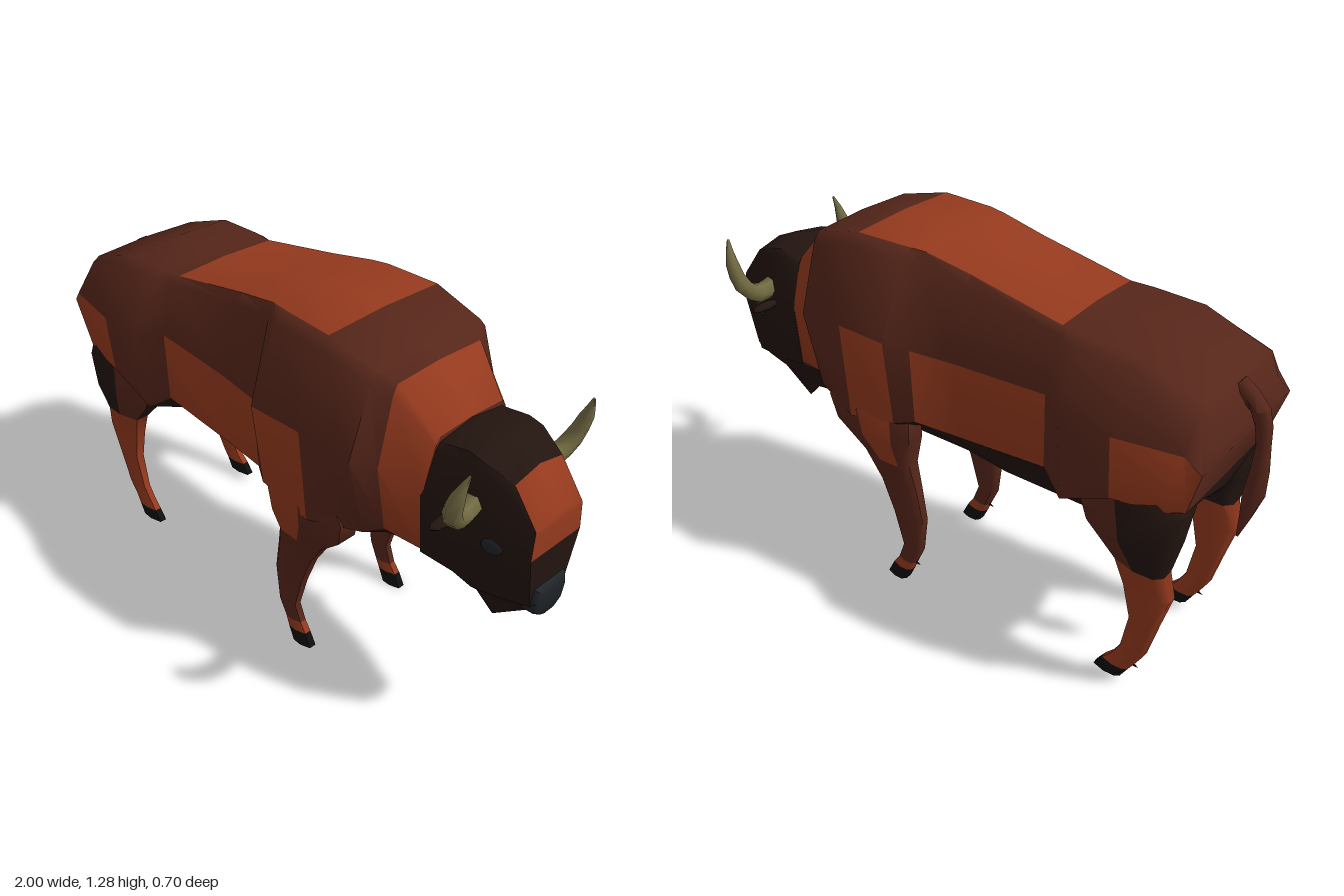
import * as THREE from 'three';
import { toCreasedNormals } from 'three/addons/utils/BufferGeometryUtils.js';

const COLORS = { coat: 0x56261a, rust: 0x963a1e, dark: 0x231510, black: 0x100e0d, horn: 0x726a42, grey: 0x202428 };
const mats = {};
for (const k in COLORS) mats[k] = new THREE.MeshStandardMaterial({ color: COLORS[k] });

// Skin equal-length closed rings, close both ends, colour each face by rule
function loft(name, rings, colorOf, crease = 0.9) {
  const n = rings[0].length, last = rings.length - 1, P = rings.flat(), bins = {};
  let volume = 0;
  const tri = (col, a, b, c) => {
    if (a === b || b === c || a === c) return;
    (bins[col] ??= []).push([a, b, c]);
    volume += P[a].dot(P[b].clone().cross(P[c]));
  };
  const quad = (col, a, b, c, d) => { tri(col, a, b, c); tri(col, a, c, d); };
  for (let i = 0; i < last; i++) for (let j = 0; j < n; j++) {
    const k = (j + 1) % n;
    quad(colorOf(i, j), i * n + j, i * n + k, (i + 1) * n + k, (i + 1) * n + j);
  }
  for (let k = 0; k < n / 2; k++) {
    const q = [k, k + 1, n - k - 1, (n - k) % n];
    quad(colorOf(-1, k), q[1], q[0], q[3], q[2]);
    quad(colorOf(last, k), ...q.map(v => v + last * n));
  }
  let geo = new THREE.BufferGeometry().setFromPoints(P);
  const index = [], used = [];
  for (const col in bins) {
    geo.addGroup(index.length, bins[col].length * 3, used.length);
    used.push(mats[col]);
    for (const [a, b, c] of bins[col]) index.push(...(volume < 0 ? [a, c, b] : [a, b, c]));
  }
  geo.setIndex(index);
  geo = toCreasedNormals(geo, crease);
  const mesh = new THREE.Mesh(geo, used);
  mesh.name = name;
  return mesh;
}

// Symmetric cross-section of the torso or head; drop rounds off the crown
function section([x, top, topW, sideY, sideW, lowY, lowW, bot, dTop = 0, dLow = 0], drop) {
  const half = [
    [x + dTop, top, 0], [x + dTop, top - drop, topW],
    [x + dTop * 0.7, top - drop - 0.12 * (top - sideY), topW + 0.25 * (sideW - topW)],
    [x, sideY, sideW], [x + dLow, lowY, lowW],
    [x + dLow, lowY * 0.69 + bot * 0.31, lowW * 0.55], [x + dLow, bot, 0],
  ];
  const mirror = half.slice(1, -1).reverse().map(([a, b, c]) => [a, b, -c]);
  return [...half, ...mirror].map(p => new THREE.Vector3(...p));
}
const strip = j => Math.min(j, 11 - j);

// Tapered round limb along a curve
function taper(name, pts, radii, color) {
  const curve = new THREE.CatmullRomCurve3(pts.map(p => new THREE.Vector3(...p)));
  const steps = (pts.length - 1) * 2, frames = curve.computeFrenetFrames(steps);
  const rings = [];
  for (let i = 0; i <= steps; i++) {
    const t = i / steps, f = t * (radii.length - 1), a = Math.min(Math.floor(f), radii.length - 2);
    const r = THREE.MathUtils.lerp(radii[a], radii[a + 1], f - a), c = curve.getPoint(t);
    rings.push(Array.from({ length: 6 }, (_, j) => {
      const w = j / 6 * Math.PI * 2;
      return c.clone().addScaledVector(frames.normals[i], Math.cos(w) * r)
        .addScaledVector(frames.binormals[i], Math.sin(w) * r);
    }));
  }
  return loft(name, rings, () => color, 1.1);
}

// Leg from rows of [y, back x, front x, inner z, outer z]
const LEG = [[0, 0.28], [0, 0.75], [0.15, 1], [0.55, 1], [1, 0.75], [1, 0.25], [0.55, 0], [0.15, 0]];
function leg(name, rows, side, colorOf) {
  const rings = rows.map(([y, x0, x1, z0, z1]) => LEG.map(([u, v]) =>
    new THREE.Vector3(x0 + u * (x1 - x0), y, side * (z0 + v * (z1 - z0)))));
  return loft(name, rings, colorOf);
}

export function createModel() {
  const g = new THREE.Group();
  g.name = 'bison';

  // Torso from rump to neck
  const torso = [
    [-0.93, 1.0, 0.17, 0.9, 0.285, 0.75, 0.262, 0.7, 0.015, 0.045],
    [-0.88, 1.068, 0.2, 0.95, 0.3, 0.75, 0.292, 0.64, 0, 0.04],
    [-0.67, 1.15, 0.2, 0.95, 0.33, 0.74, 0.314, 0.56],
    [-0.5, 1.16, 0.2, 0.96, 0.33, 0.66, 0.3, 0.5],
    [-0.42, 1.165, 0.19, 0.97, 0.27, 0.72, 0.265, 0.425],
    [-0.1, 1.235, 0.19, 0.97, 0.28, 0.71, 0.27, 0.435],
    [0.06, 1.27, 0.2, 0.97, 0.295, 0.71, 0.28, 0.46],
    [0.12, 1.275, 0.21, 1.0, 0.35, 0.7, 0.314, 0.462],
    [0.31, 1.28, 0.22, 1.0, 0.335, 0.66, 0.306, 0.485],
    [0.49, 1.24, 0.21, 0.98, 0.31, 0.69, 0.245, 0.5],
    [0.53, 1.205, 0.17, 0.94, 0.235, 0.7, 0.197, 0.5],
    [0.66, 1.08, 0.13, 0.9, 0.19, 0.69, 0.172, 0.49],
  ];
  g.add(loft('torso', torso.map(r => section(r, 0.008)), (i, j) => {
    const s = strip(j);
    if (i < 0) return j > 3 ? 'dark' : 'coat';
    if (s === 4 && (i === 2 || i === 8)) return 'coat';
    if (s >= 4) return 'dark';
    if (i === 10 || (s === 0 && i >= 4 && i <= 7)) return 'rust';
    return s === 3 && [0, 1, 4, 5, 7].includes(i) ? 'rust' : 'coat';
  }));

  // Head with beard and rust forehead
  const head = [
    [0.655, 1.075, 0.13, 0.9, 0.192, 0.68, 0.174, 0.488],
    [0.76, 1.097, 0.125, 0.88, 0.178, 0.66, 0.15, 0.48],
    [0.81, 1.088, 0.125, 0.88, 0.165, 0.62, 0.125, 0.428],
    [0.9, 1.05, 0.1, 0.85, 0.14, 0.62, 0.1, 0.505],
    [0.988, 0.94, 0.1, 0.82, 0.108, 0.63, 0.075, 0.575, -0.003, -0.005],
  ];
  g.add(loft('head', head.map(r => section(r, 0.022)), (i, j) =>
    (i === 3 && strip(j) === 0) || (i === 4 && j < 3) ? 'rust' : 'dark'));

  // Muzzle pad, bevelled
  const pad = [[0.95, 1.04], [0.99, 1], [1.0, 0.85]].map(([x, k]) =>
    [[0.065, 0.057], [0.072, 0.02], [0.06, -0.035], [0.025, -0.06],
      [-0.025, -0.06], [-0.06, -0.035], [-0.072, 0.02], [-0.065, 0.057]]
      .map(([z, y]) => new THREE.Vector3(x, 0.632 + y * k, z * k)));
  g.add(loft('muzzle', pad, () => 'grey'));

  // Tail
  g.add(taper('tail', [[-0.88, 1.04, 0], [-0.955, 0.98, 0], [-0.978, 0.87, 0], [-0.97, 0.7, 0], [-0.938, 0.54, 0]],
    [0.03, 0.028, 0.022, 0.034, 0.004], 'coat'));

  const foreRows = [
    [0.8, 0.14, 0.36, 0.2, 0.3], [0.69, 0.09, 0.43, 0.17, 0.312], [0.6, 0.1, 0.41, 0.16, 0.302],
    [0.5, 0.12, 0.31, 0.175, 0.27], [0.4, 0.1, 0.25, 0.185, 0.255], [0.28, 0.08, 0.205, 0.19, 0.248],
    [0.15, 0.095, 0.17, 0.195, 0.243], [0.085, 0.125, 0.195, 0.195, 0.24],
    [0.05, 0.14, 0.22, 0.195, 0.243], [0, 0.165, 0.245, 0.193, 0.245],
  ];
  const hindRows = [
    [0.8, -0.84, -0.56, 0.16, 0.285], [0.73, -0.882, -0.53, 0.14, 0.31], [0.6, -0.86, -0.575, 0.15, 0.305],
    [0.49, -0.835, -0.67, 0.18, 0.275], [0.4, -0.855, -0.7, 0.185, 0.26], [0.28, -0.82, -0.725, 0.19, 0.25],
    [0.15, -0.785, -0.7, 0.195, 0.243], [0.1, -0.755, -0.67, 0.195, 0.24],
    [0.07, -0.735, -0.64, 0.195, 0.243], [0.03, -0.71, -0.612, 0.193, 0.245],
  ];
  for (const s of [1, -1]) {
    const side = s > 0 ? 'Right' : 'Left';
    // Legs with hooves
    g.add(leg('foreleg' + side, foreRows, s, (i, j) =>
      i >= 8 ? 'black' : i === 7 || (i >= 0 && i < 3 && j === 2) ? 'rust' : 'coat'));
    g.add(leg('hindleg' + side, hindRows, s, (i, j) =>
      i >= 8 ? 'black' : i >= 3 ? 'rust' : j === 3 ? 'coat' : 'dark'));
    // Dew claws
    for (const [x, y] of [[0.122, 0.08], [-0.75, 0.085]]) {
      const claw = new THREE.Mesh(new THREE.ConeGeometry(0.008, 0.03, 5), mats.black);
      claw.position.set(x, y, s * 0.218);
      claw.rotation.z = 1.9;
      claw.name = 'dewClaw';
      g.add(claw);
    }
    // Horn
    g.add(taper('horn' + side, [[0.8, 0.94, 0.13 * s], [0.81, 0.925, 0.2 * s], [0.825, 0.965, 0.255 * s],
      [0.85, 1.05, 0.272 * s], [0.872, 1.125, 0.258 * s]], [0.034, 0.034, 0.031, 0.022, 0.004], 'horn'));
    // Ear
    const ear = new THREE.Mesh(new THREE.SphereGeometry(1, 8, 6), mats.dark);
    ear.scale.set(0.022, 0.014, 0.06);
    ear.position.set(0.768, 0.892, s * 0.217);
    ear.name = 'ear' + side;
    g.add(ear);
    // Eye
    const eye = new THREE.Mesh(new THREE.SphereGeometry(0.034, 8, 6), mats.grey);
    eye.scale.set(1, 0.85, 0.25);
    eye.position.set(0.88, 0.825, s * 0.14);
    eye.rotation.y = s * 0.35;
    eye.name = 'eye' + side;
    g.add(eye);
    // Nostril
    const nostril = new THREE.Mesh(new THREE.SphereGeometry(0.01, 6, 5), mats.black);
    nostril.position.set(0.988, 0.64, s * 0.06);
    nostril.name = 'nostril' + side;
    g.add(nostril);
  }
  return g;
}
